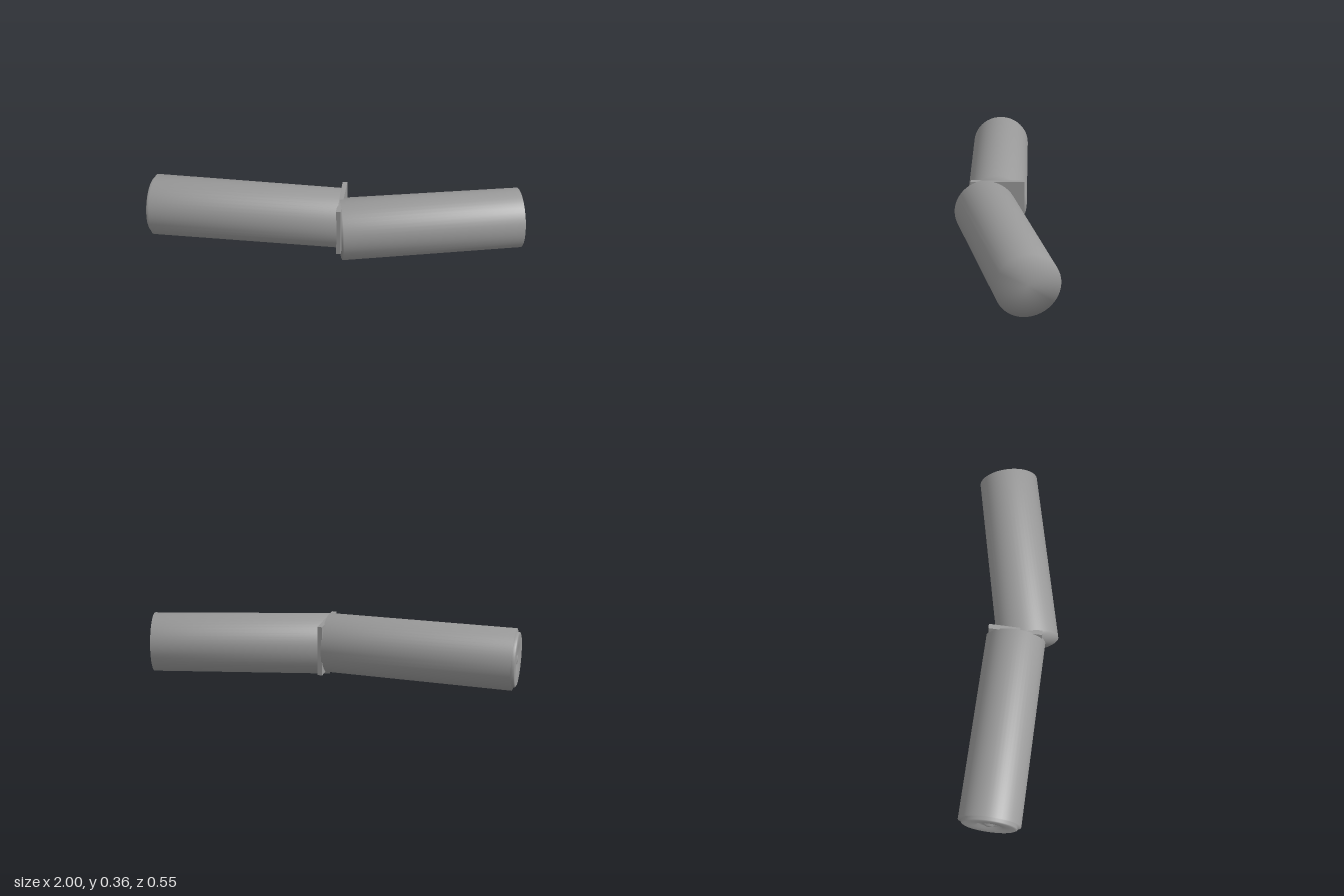
import * as THREE from 'three';

const grey = new THREE.MeshStandardMaterial({ color: 0x999999 });
grey.name = 'grey';

// Turned solid along +x, softly shaded; profile is [radius, distance along axis]
function turned(name, profile, x, y, z, turn = 0) {
  const points = profile.map(([r, d]) => new THREE.Vector2(r, d));
  const geometry = new THREE.LatheGeometry(points, 48);
  geometry.rotateZ(-Math.PI / 2);
  const mesh = new THREE.Mesh(geometry, grey);
  mesh.name = name;
  mesh.position.set(x, y, z);
  mesh.rotation.y = turn;
  return mesh;
}

export function createModel() {
  const group = new THREE.Group();
  group.name = 'jointedTubes';

  // Straight barrel, tapering slightly towards the joint
  group.add(turned('straightBarrel',
    [[0, 0], [0.163, 0], [0.159, 1], [0, 1]], -0.98, 0.193, 0.046));

  // Stepped end cap with a small central knob
  group.add(turned('endCap',
    [[0, 0.004], [0.02, 0.004], [0.03, 0.014], [0.06, 0.014], [0.072, 0.003], [0.135, 0], [0.145, 0.005], [0.145, 0.022]],
    -1, 0.193, 0.046));

  // Square plate at the joint
  const plate = new THREE.Mesh(new THREE.BoxGeometry(0.025, 0.27, 0.285), grey);
  plate.name = 'jointPlate';
  plate.position.set(0.028, 0.19, 0.042);
  group.add(plate);

  // Angled barrel, swung backwards from the joint
  group.add(turned('angledBarrel',
    [[0, 0], [0.165, 0], [0.16, 0.959], [0, 0.959]], 0.03, 0.165, 0.11, 0.243));

  return group;
}
